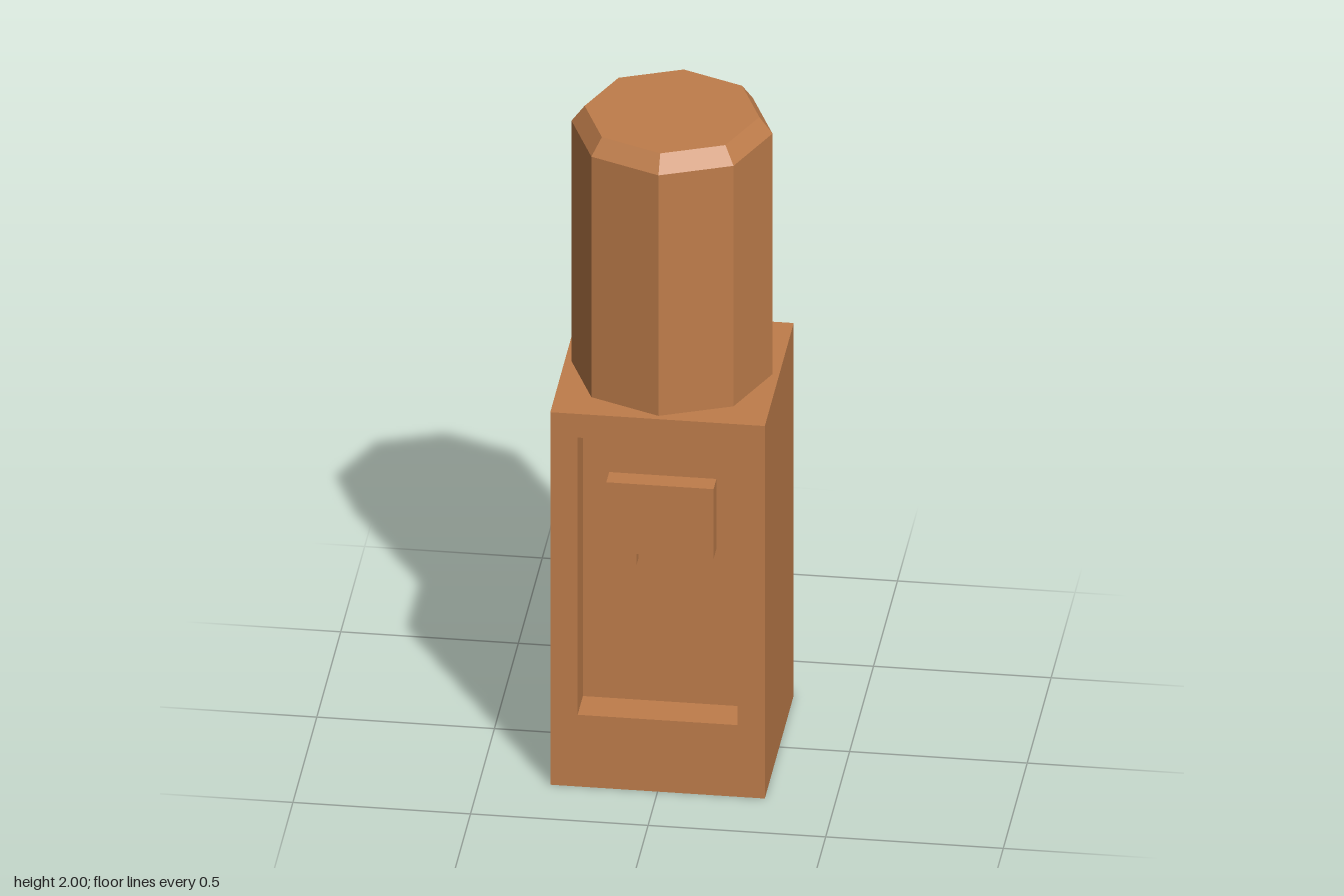
import * as THREE from 'three';

// Box without its +z face; inward = true turns the walls to face the inside
function openBox(w, h, d, inward) {
  const box = new THREE.BoxGeometry(w, h, d);
  const index = Array.from(box.index.array);
  index.splice(24, 6);
  if (inward) index.reverse();
  box.setIndex(index);
  box.clearGroups();
  const geometry = box.toNonIndexed();
  geometry.computeVertexNormals();
  return geometry;
}

export function createModel() {
  const group = new THREE.Group();
  const copper = new THREE.MeshStandardMaterial({ color: 0xbf7d4b });
  copper.name = 'copper brown';
  copper.flatShading = true;

  function add(name, geometry, x, y, z) {
    const mesh = new THREE.Mesh(geometry, copper);
    mesh.name = name;
    mesh.position.set(x, y, z);
    group.add(mesh);
  }

  const width = 0.604, half = width / 2, height = 1.185;
  const nicheW = 0.45, nicheBottom = 0.228, nicheTop = 1.11, nicheDepth = 0.11;
  const nicheH = nicheTop - nicheBottom;

  // Cabinet: outer shell, front panel with an opening, and the niche behind it
  add('cabinet', openBox(width, height, width, false), 0, height / 2, 0);

  const panel = new THREE.Shape();
  panel.moveTo(-half, 0).lineTo(half, 0).lineTo(half, height).lineTo(-half, height).closePath();
  const opening = new THREE.Path();
  opening.moveTo(-nicheW / 2, nicheBottom).lineTo(-nicheW / 2, nicheTop);
  opening.lineTo(nicheW / 2, nicheTop).lineTo(nicheW / 2, nicheBottom).closePath();
  panel.holes.push(opening);
  add('frontPanel', new THREE.ShapeGeometry(panel), 0, 0, half);

  add('niche', openBox(nicheW, nicheH, nicheDepth, true),
    0, nicheBottom + nicheH / 2, half - nicheDepth / 2);

  // Tap housing on the niche wall, with a small spout below
  add('tapHousing', new THREE.BoxGeometry(0.302, 0.222, 0.06), 0, 0.835, 0.222);
  add('spout', new THREE.BoxGeometry(0.048, 0.045, 0.04), -0.092, 0.7025, 0.219);

  // Eight-sided bottle with a bevelled top
  const bottleR = 0.283, topR = 0.246, shoulderY = 1.95;
  add('bottle', new THREE.CylinderGeometry(bottleR, bottleR, shoulderY - height, 8, 1, true),
    0, (shoulderY + height) / 2, 0);
  add('bottleTop', new THREE.CylinderGeometry(topR, bottleR, 2 - shoulderY, 8),
    0, (2 + shoulderY) / 2, 0);

  return group;
}
